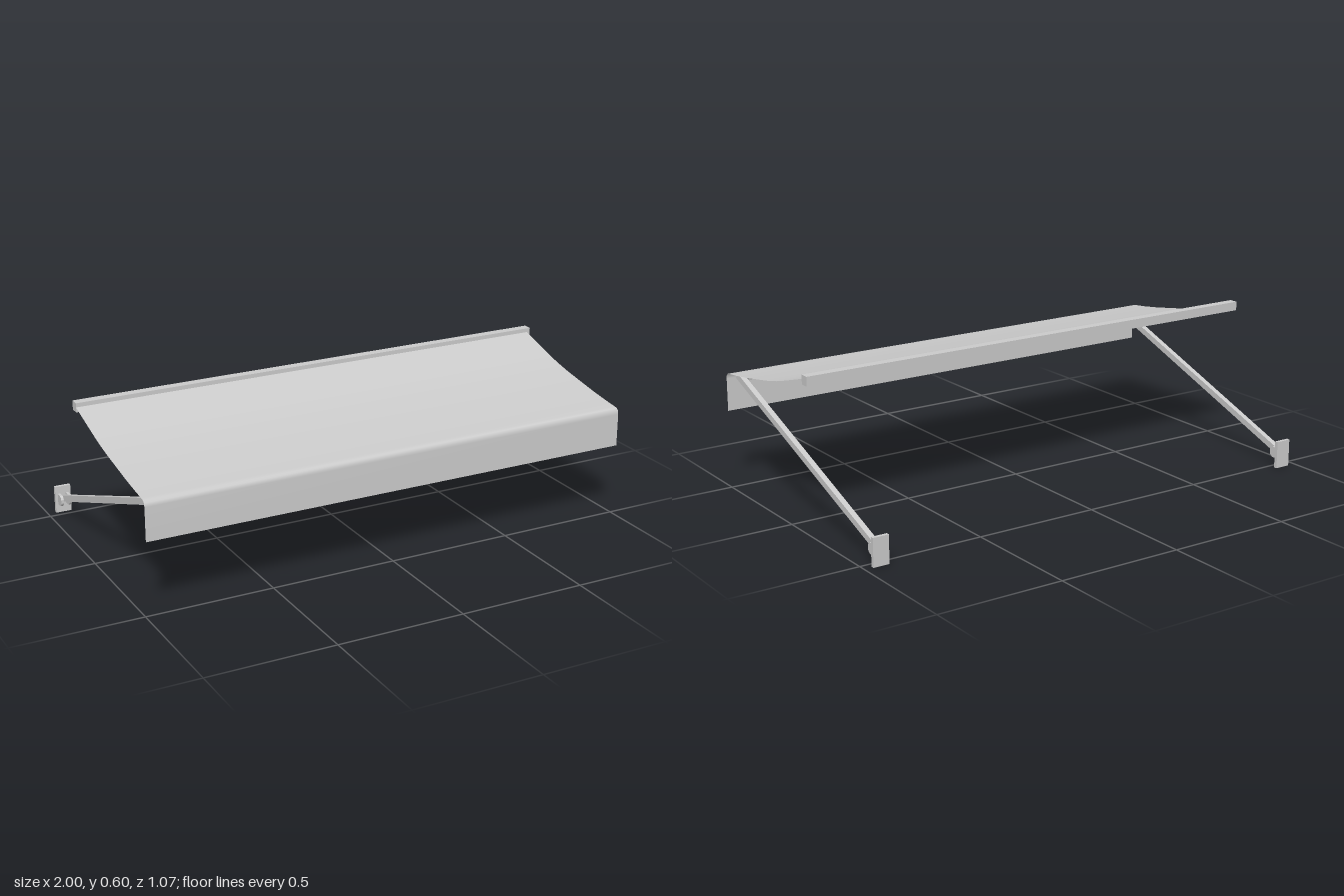
import * as THREE from 'three';

const material = new THREE.MeshStandardMaterial({ color: 0xcccccc });
const clothMaterial = new THREE.MeshStandardMaterial({ color: 0xcccccc, side: THREE.DoubleSide });

function addBox(parent, name, size, position) {
  const mesh = new THREE.Mesh(new THREE.BoxGeometry(...size), material);
  mesh.name = name;
  mesh.position.set(...position);
  parent.add(mesh);
  return mesh;
}

// Thin sheet swept along x from a side profile of [z, y] points
function sheet(profile, x0, x1) {
  const positions = [], index = [];
  profile.forEach(([z, y], i) => {
    positions.push(x0, y, z, x1, y, z);
    if (i) {
      const a = 2 * i - 2;
      index.push(a, a + 2, a + 1, a + 1, a + 2, a + 3);
    }
  });
  const geometry = new THREE.BufferGeometry();
  geometry.setAttribute('position', new THREE.Float32BufferAttribute(positions, 3));
  geometry.setIndex(index);
  geometry.computeVertexNormals();
  return geometry;
}

// Cheek of the pivot bracket: rounded nose toward the front, extruded along x
function cheekGeometry(width) {
  const shape = new THREE.Shape();
  [[-0.527, 0.036], [-0.499, 0.036], [-0.489, 0.043], [-0.485, 0.051],
    [-0.485, 0.066], [-0.489, 0.074], [-0.499, 0.08], [-0.527, 0.08]]
    .forEach(([z, y], i) => (i ? shape.lineTo(-z, y) : shape.moveTo(-z, y)));
  const geometry = new THREE.ExtrudeGeometry(shape, { depth: width, bevelEnabled: false });
  geometry.translate(0, 0, -width / 2);
  geometry.rotateY(Math.PI / 2);
  return geometry;
}

export function createModel() {
  const model = new THREE.Group();
  model.name = 'awning';

  // Wall rail
  addBox(model, 'wallRail', [2, 0.036, 0.036], [0, 0.582, -0.137]);

  // Sagging cloth that folds over the front bar into a hanging valance
  const profile = [[-0.13, 0.587], [-0.083, 0.573], [-0.01, 0.552], [0.05, 0.535],
    [0.11, 0.519], [0.18, 0.504], [0.25, 0.492], [0.363, 0.473], [0.45, 0.461],
    [0.505, 0.455], [0.522, 0.452], [0.53, 0.445], [0.533, 0.43], [0.533, 0.3]];
  const cloth = new THREE.Mesh(sheet(profile, -1, 0.985), clothMaterial);
  cloth.name = 'clothCanopy';
  model.add(cloth);

  // Sloping arms with their pivot brackets
  const back = new THREE.Vector2(-0.51, 0.063), front = new THREE.Vector2(0.527, 0.438);
  const run = front.clone().sub(back);
  const tilt = -run.angle();
  for (const side of [-1, 1]) {
    const x = side * 0.935;
    const label = side > 0 ? 'left' : 'right';
    const arm = addBox(model, label + 'Arm', [0.022, 0.025, run.length()],
      [x, (back.y + front.y) / 2, (back.x + front.x) / 2]);
    arm.rotation.x = tilt;

    const bracket = new THREE.Group();
    bracket.name = label + 'Bracket';
    bracket.position.x = x;
    addBox(bracket, 'wallPlate', [0.064, 0.11, 0.014], [0, 0.055, -0.531]);
    for (const s of [-1, 1]) {
      const cheek = new THREE.Mesh(cheekGeometry(0.011), material);
      cheek.name = 'bracketCheek';
      cheek.position.x = s * 0.0165;
      bracket.add(cheek);
    }
    model.add(bracket);
  }

  // Front bar joining the arms
  const bar = addBox(model, 'frontBar', [1.87, 0.025, 0.025], [0, 0.434, 0.515]);
  bar.rotation.x = tilt;

  return model;
}
